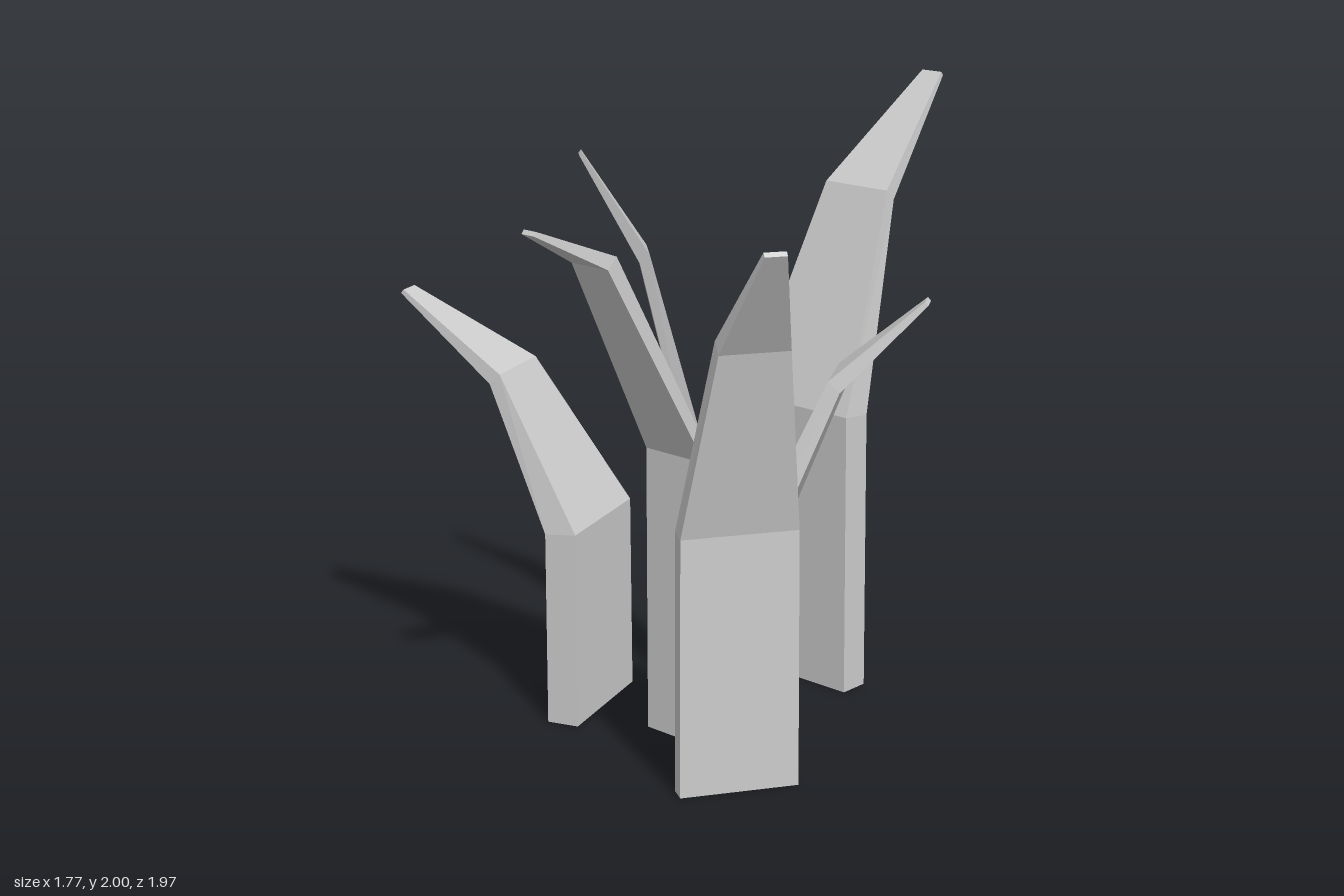
import * as THREE from 'three';

const material = new THREE.MeshStandardMaterial({ color: 0xcccccc, flatShading: true });

// at: middle of the inner base edge [x, z]; side: full width vector; out: lean direction
// thick: base thickness; heights, reach, taper: at bend, middle and tip
const BLADES = [
  { name: 'backBlade', at: [0.088, -0.28], side: [-0.45, 0], out: [0, -1], thick: 0.105,
    heights: [0.96, 1.66, 2.0], reach: [0, 0.3, 0.695], taper: [0.97, 0.58, 0.18] },
  { name: 'frontBlade', at: [0.157, 0.34], side: [0.255, 0], out: [0, 1], thick: 0.035,
    heights: [0.96, 1.65, 1.76], reach: [0, 0.36, 0.635], taper: [0.98, 0.6, 0.2] },
  { name: 'leftBackBlade', at: [0.315, 0.145], side: [-0.21, -0.35], out: [0.857, -0.515], thick: 0.075,
    heights: [0.72, 1.215, 1.46], reach: [0, 0.226, 0.51], taper: [0.98, 0.57, 0.17] },
  { name: 'leftFrontBlade', at: [0.54, 0.52], side: [0.2, -0.32], out: [0.86, 0.51], thick: 0.057,
    heights: [0.84, 1.46, 1.76], reach: [0, 0.16, 0.375], taper: [0.98, 0.58, 0.18] },
  { name: 'rightBackBlade', at: [-0.058, 0.02], side: [0.2, 0.18], out: [-0.973, 0.23], thick: 0.07,
    heights: [0.875, 1.495, 1.8], reach: [0, 0.2, 0.452], taper: [0.98, 0.56, 0.17] },
  { name: 'rightFrontBlade', at: [-0.21, 0.33], side: [0.142, 0.4], out: [-0.94, 0.34], thick: 0.107,
    heights: [0.655, 1.135, 1.36], reach: [0, 0.3, 0.695], taper: [0.98, 0.6, 0.17] },
];

// Four corners of one cross-section: inner pair, then outer pair
function ring(b, height, reach, taper, depth, drop) {
  const corner = (s, r, y) => [
    b.at[0] + b.side[0] * s * taper + b.out[0] * r, y,
    b.at[1] + b.side[1] * s * taper + b.out[1] * r,
  ];
  return [
    corner(-0.5, reach, height), corner(0.5, reach, height),
    corner(0.5, reach + depth, height - drop), corner(-0.5, reach + depth, height - drop),
  ];
}

function bladeGeometry(b) {
  const depths = [b.thick, 0.037, 0.01], drops = [0.01, 0.035, 0.012];
  const rings = [ring(b, 0, 0, 1, b.thick, 0)];
  b.heights.forEach((h, i) => rings.push(ring(b, h, b.reach[i], b.taper[i], depths[i], drops[i])));

  const positions = [];
  const quad = (p, q, r, s) => positions.push(...p, ...q, ...r, ...p, ...r, ...s);
  // Sides between neighbouring cross-sections
  for (let i = 0; i < rings.length - 1; i++) {
    for (let k = 0; k < 4; k++) {
      const n = (k + 1) % 4;
      quad(rings[i][n], rings[i][k], rings[i + 1][k], rings[i + 1][n]);
    }
  }
  // Base and tip caps
  quad(...rings[0]);
  quad(...rings[rings.length - 1].slice().reverse());

  const geometry = new THREE.BufferGeometry();
  geometry.setAttribute('position', new THREE.Float32BufferAttribute(positions, 3));
  geometry.computeVertexNormals();
  return geometry;
}

export function createModel() {
  const model = new THREE.Group();
  model.name = 'grassTuft';
  for (const blade of BLADES) {
    const mesh = new THREE.Mesh(bladeGeometry(blade), material);
    mesh.name = blade.name;
    model.add(mesh);
  }
  return model;
}
